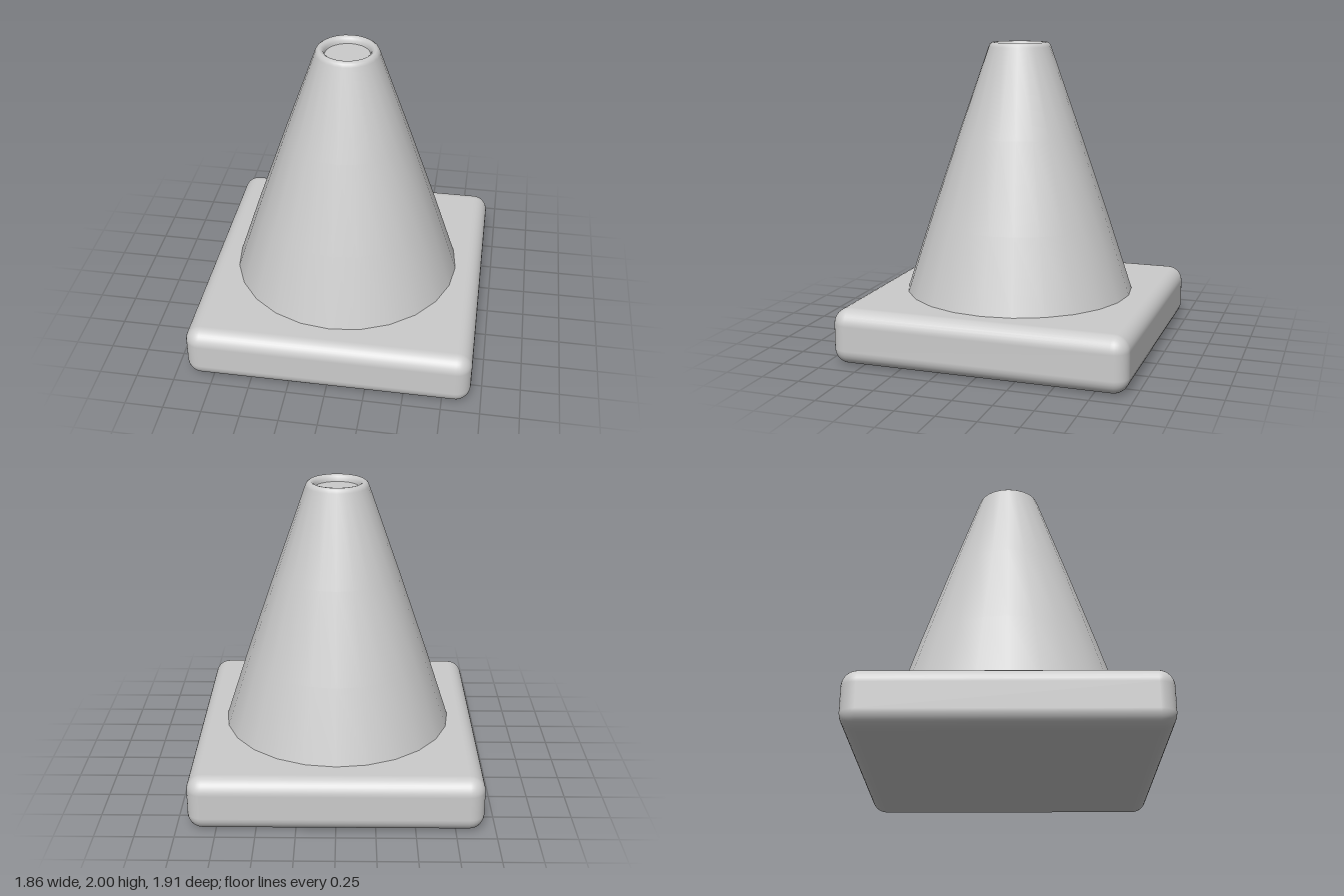
import * as THREE from 'three';
import { RoundedBoxGeometry } from 'three/addons/geometries/RoundedBoxGeometry.js';

const SIDES = 24;

export function createModel() {
  const model = new THREE.Group();
  model.name = 'trafficCone';
  const material = new THREE.MeshStandardMaterial({ color: 0xcccccc });

  const add = (name, geometry, y) => {
    const mesh = new THREE.Mesh(geometry, material);
    mesh.name = name;
    mesh.position.y = y;
    model.add(mesh);
    return mesh;
  };

  // Thick square foot with softened edges
  add('base', new RoundedBoxGeometry(1.86, 0.36, 1.91, 4, 0.1), 0.18);

  // Tapered body, slightly steeper near the foot, ending in a rolled lip
  const profile = [
    [0.755, 0.355], [0.6, 0.83], [0.405, 1.4], [0.205, 1.97],
    [0.197, 1.988], [0.182, 1.999], [0.168, 1.998],
    [0.154, 1.988], [0.146, 1.972], [0.143, 1.955],
  ].map(([r, y]) => new THREE.Vector2(r, y));
  add('coneBody', new THREE.LatheGeometry(profile, SIDES), 0);

  // Flat floor of the shallow recess in the tip
  const floor = add('tipRecess', new THREE.CircleGeometry(0.144, SIDES), 1.957);
  floor.rotation.x = -Math.PI / 2;

  return model;
}
